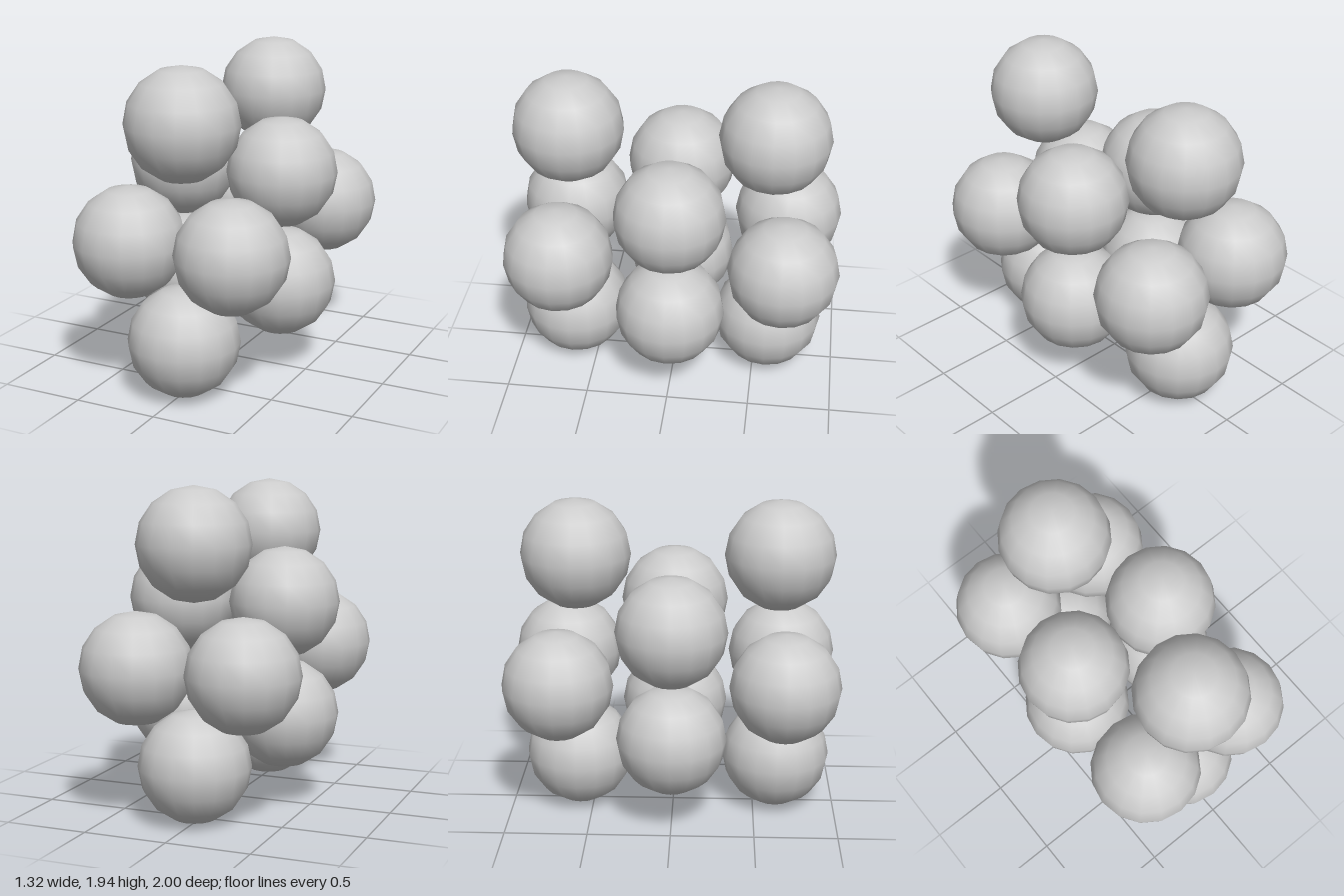
import * as THREE from 'three';

// Cluster of twelve equal balls: four mirrored pairs and four balls on the centre line
export function createModel() {
  const group = new THREE.Group();
  group.name = 'ballCluster';
  const ballGeometry = new THREE.SphereGeometry(0.33, 16, 8);
  const material = new THREE.MeshStandardMaterial({ color: 0xcccccc });

  const addBall = (name, x, y, z) => {
    const ball = new THREE.Mesh(ballGeometry, material);
    ball.name = name;
    ball.position.set(x, y, z);
    group.add(ball);
  };

  // Mirrored pairs: [name, y, z]
  const pairs = [
    ['FrontBall', 0.9, 0.67],
    ['BackBall', 0.9, -0.67],
    ['UpperMiddleBall', 1.235, 0],
    ['LowerMiddleBall', 0.56, 0],
  ];
  for (const [name, y, z] of pairs) {
    addBall('left' + name, 0.328, y, z);
    addBall('right' + name, -0.328, y, z);
  }

  // Top and bottom balls on the centre line
  for (const [level, y] of [['top', 1.61], ['bottom', 0.335]]) {
    addBall(level + 'FrontBall', 0.005, y, 0.635);
    addBall(level + 'BackBall', 0.005, y, -0.58);
  }
  return group;
}
